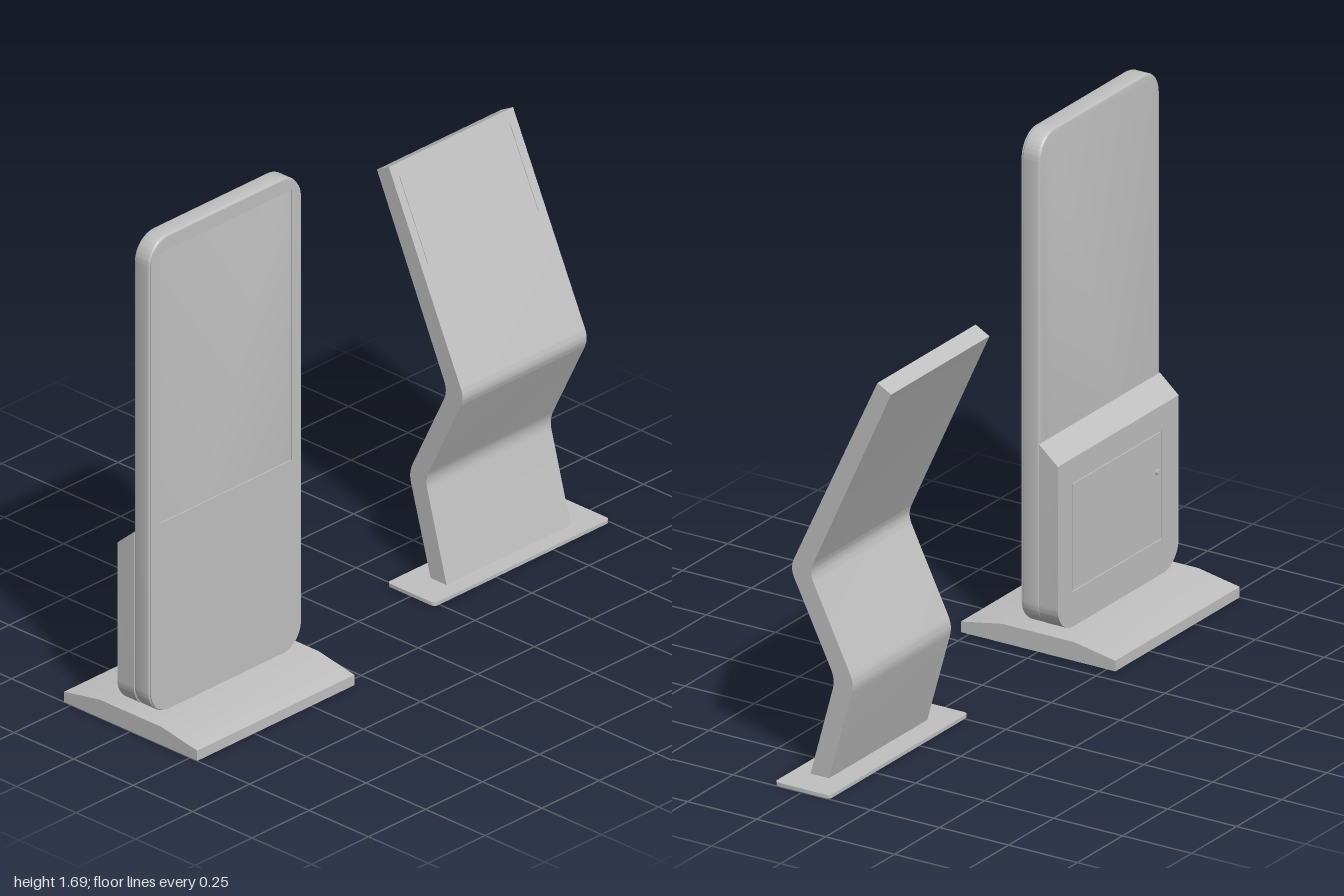
import * as THREE from 'three';
import { toCreasedNormals } from 'three/addons/utils/BufferGeometryUtils.js';

const paint = new THREE.MeshStandardMaterial({ color: 0xc0c0c0 });
paint.name = 'light grey';

function part(name, geometry, parent) {
  const mesh = new THREE.Mesh(toCreasedNormals(geometry, 0.6), paint);
  mesh.name = name;
  parent.add(mesh);
  return mesh;
}

// Rectangle outline with separate radii for the top and bottom corners
function roundRect(PathType, x0, y0, x1, y1, top = 0, bottom = 0) {
  const p = new PathType();
  p.moveTo(x0 + bottom, y0);
  p.lineTo(x1 - bottom, y0);
  if (bottom) p.absarc(x1 - bottom, y0 + bottom, bottom, -Math.PI / 2, 0);
  p.lineTo(x1, y1 - top);
  if (top) p.absarc(x1 - top, y1 - top, top, 0, Math.PI / 2);
  p.lineTo(x0 + top, y1);
  if (top) p.absarc(x0 + top, y1 - top, top, Math.PI / 2, Math.PI);
  p.lineTo(x0, y0 + bottom);
  if (bottom) p.absarc(x0 + bottom, y0 + bottom, bottom, Math.PI, Math.PI * 1.5);
  return p;
}

// Extrude a front outline between two depths, optionally with rounded rims
function slab(shape, z0, z1, bevel = 0) {
  return new THREE.ExtrudeGeometry(shape, {
    depth: z1 - z0 - 2 * bevel, curveSegments: 10,
    bevelEnabled: bevel > 0, bevelSize: bevel, bevelThickness: bevel,
    bevelOffset: -bevel, bevelSegments: 3,
  }).translate(0, 0, z0 + bevel);
}

// Extrude a side profile of [z, y] points across a width centred on x = 0
function sideProfile(points, width) {
  const shape = new THREE.Shape(points.map(([z, y]) => new THREE.Vector2(-z, y)));
  return new THREE.ExtrudeGeometry(shape, { depth: width, bevelEnabled: false })
    .rotateY(Math.PI / 2).translate(-width / 2, 0, 0);
}

// Replace the inner corners of an open path by short curves
function softenCorners(points, radius) {
  const v = points.map(([z, y]) => new THREE.Vector2(z, y));
  const out = [points[0]];
  for (let i = 1; i < v.length - 1; i++) {
    const a = v[i].clone().add(v[i - 1].clone().sub(v[i]).setLength(radius));
    const b = v[i].clone().add(v[i + 1].clone().sub(v[i]).setLength(radius));
    new THREE.QuadraticBezierCurve(a, v[i], b).getPoints(8).forEach((p) => out.push([p.x, p.y]));
  }
  out.push(points[points.length - 1]);
  return out;
}

function uprightKiosk() {
  const g = new THREE.Group();
  g.name = 'uprightKiosk';

  // Foot with a crowned top
  part('foot', sideProfile([[0.28, 0], [0.28, 0.035], [0.13, 0.062], [-0.13, 0.062],
    [-0.28, 0.035], [-0.28, 0]], 0.69), g);

  // Cabinet, with a bezel that leaves the screen slightly recessed
  part('cabinet', slab(roundRect(THREE.Shape, -0.333, 0.065, 0.333, 1.69, 0.085, 0.085),
    0.003, 0.066, 0.006), g);
  const bezel = roundRect(THREE.Shape, -0.329, 0.069, 0.329, 1.686, 0.081, 0.081);
  bezel.holes.push(roundRect(THREE.Path, -0.29, 0.715, 0.29, 1.64));
  part('screenBezel', slab(bezel, 0.066, 0.07), g);

  // Rear housing with a sloping shoulder
  const slope = (geometry) => {
    const p = geometry.attributes.position;
    for (let i = 0; i < p.count; i++) {
      p.setY(i, Math.min(p.getY(i), 0.68 + 0.06 * Math.min(0, p.getZ(i)) / 0.065));
    }
    return geometry;
  };
  const outline = () => roundRect(THREE.Shape, -0.335, 0.065, 0.335, 0.68, 0, 0.085);
  part('rearHousing', slope(slab(outline(), -0.061, 0.004)), g);
  const skin = outline();
  skin.holes.push(roundRect(THREE.Path, -0.243, 0.18, 0.257, 0.54));
  part('rearPanel', slope(slab(skin, -0.065, -0.061)), g);

  // Access door with a narrow gap around it, and its lock
  part('accessDoor', slab(roundRect(THREE.Shape, -0.237, 0.186, 0.251, 0.534), -0.065, -0.061), g);
  part('doorLock', new THREE.CylinderGeometry(0.009, 0.009, 0.008, 20)
    .rotateX(Math.PI / 2).translate(-0.215, 0.41, -0.068), g);

  g.position.x = -0.655;
  return g;
}

function foldedKiosk() {
  const g = new THREE.Group();
  g.name = 'foldedKiosk';

  // Flat floor plate
  part('floorPlate', slab(roundRect(THREE.Shape, -0.385, -0.1, 0.385, 0.1, 0.015, 0.015), 0, 0.012)
    .rotateX(-Math.PI / 2), g);

  // Folded sheet body
  const front = softenCorners([[0.043, 0.01], [-0.047, 0.342], [0.117, 0.675], [-0.2, 1.355]], 0.035);
  const back = softenCorners([[-0.024, 0.01], [-0.116, 0.342], [0.047, 0.675], [-0.25, 1.328]], 0.035);
  part('foldedBody', sideProfile([...front, ...back.reverse()], 0.545), g);

  // Thin side strips on the leaning face
  const lean = Math.atan2(0.317, 0.68);
  for (const side of [-1, 1]) {
    const strip = part(side < 0 ? 'rightStrip' : 'leftStrip',
      new THREE.BoxGeometry(0.005, 0.285, 0.004), g);
    const y = 1.19;
    strip.position.set(side * 0.242, y, 0.117 - (y - 0.675) * Math.tan(lean));
    strip.rotation.x = -lean;
  }

  g.position.x = 0.614;
  return g;
}

export function createModel() {
  const model = new THREE.Group();
  model.name = 'kioskPair';
  model.add(uprightKiosk(), foldedKiosk());
  return model;
}
